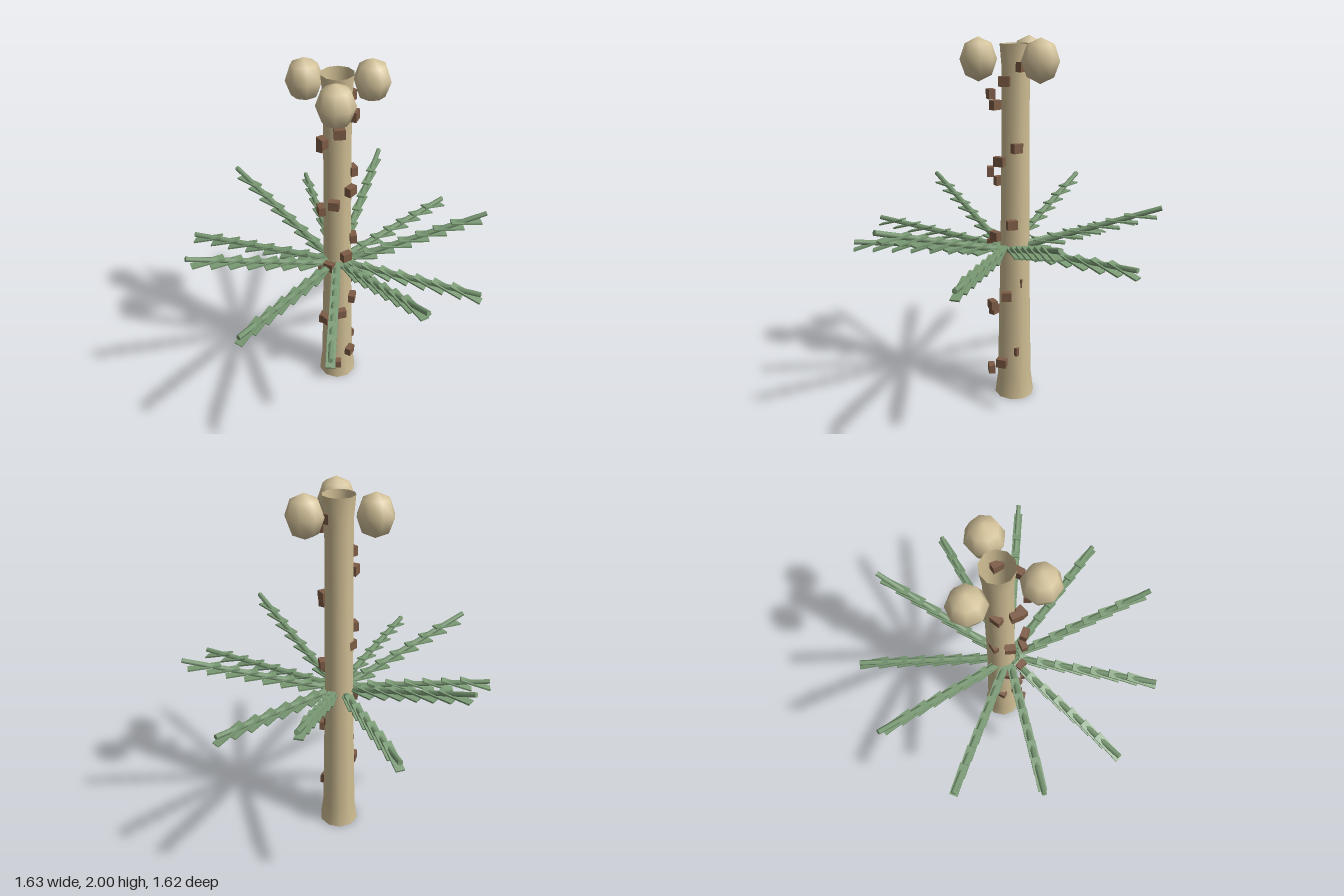
import * as THREE from 'three';

const mat = (name, color, side = THREE.FrontSide) => {
  const m = new THREE.MeshStandardMaterial({ color, side });
  m.name = name;
  return m;
};

export function createModel() {
  const bark = mat('bark', 0xd0be94, THREE.DoubleSide);
  const nutSkin = mat('nut skin', 0xd4c39b);
  const brown = mat('brown', 0x7d5c46);
  const leafGreen = mat('leaf green', 0x7a9a74);

  const model = new THREE.Group();
  model.name = 'palmTree';
  const add = (parent, name, geometry, material) => {
    const mesh = new THREE.Mesh(geometry, material);
    mesh.name = name;
    parent.add(mesh);
    return mesh;
  };
  const trunkZ = -0.045;

  // Open ten-sided trunk, flared at the foot and the top
  const profile = [[0.111, 0], [0.096, 0.12], [0.08, 0.85], [0.074, 1.5], [0.073, 1.85], [0.083, 1.965]]
    .map(([r, y]) => new THREE.Vector2(r, y));
  add(model, 'trunk', new THREE.LatheGeometry(profile, 10), bark).position.z = trunkZ;

  // Spiral of bark stubs
  const stubGeometry = new THREE.BoxGeometry(0.055, 0.05, 0.036);
  for (let i = 0; i < 26; i++) {
    const a = i * 1.1;
    const stub = add(model, 'barkStub', stubGeometry, brown);
    stub.position.set(Math.sin(a) * 0.087, 0.155 + i * 0.068, Math.cos(a) * 0.087);
    stub.rotation.y = a;
  }

  // Fronds: a straight rib with drooping leaflets, alternately low and steep
  const leafletGeometry = new THREE.BoxGeometry(0.045, 0.009, 0.17);
  for (let i = 0; i < 11; i++) {
    const steep = i % 2 === 1;
    const baseY = steep ? 0.88 : 0.89;
    const rise = (steep ? 1.142 : 0.955) - baseY;
    const run = 0.775;
    const length = Math.hypot(run, rise);

    const frond = new THREE.Group();
    frond.name = 'frond';
    frond.rotation.order = 'YXZ';
    frond.rotation.y = (i / 11) * Math.PI * 2;
    frond.rotation.x = -Math.atan2(rise, run);
    frond.position.set(Math.sin(frond.rotation.y) * 0.04, baseY, Math.cos(frond.rotation.y) * 0.04);
    model.add(frond);

    const rib = new THREE.CylinderGeometry(0.014, 0.018, length, 6);
    rib.rotateX(Math.PI / 2).translate(0, 0, length / 2);
    add(frond, 'rib', rib, leafGreen);

    for (let k = 0; k < 7; k++) {
      const leaflet = add(frond, 'leaflet', leafletGeometry, leafGreen);
      leaflet.position.set(0, -0.012, 0.1 + k * 0.1);
      leaflet.rotation.x = 0.38;
    }
  }

  // Three nuts around the crown
  const nutGeometry = new THREE.SphereGeometry(0.095, 8, 4).scale(1, 1.16, 1);
  for (let i = 0; i < 3; i++) {
    const a = (i / 3) * Math.PI * 2;
    const nut = add(model, 'nut', nutGeometry, nutSkin);
    nut.position.set(Math.sin(a) * 0.19, 1.89, trunkZ + Math.cos(a) * 0.19);
    nut.rotation.y = a;
  }

  return model;
}
